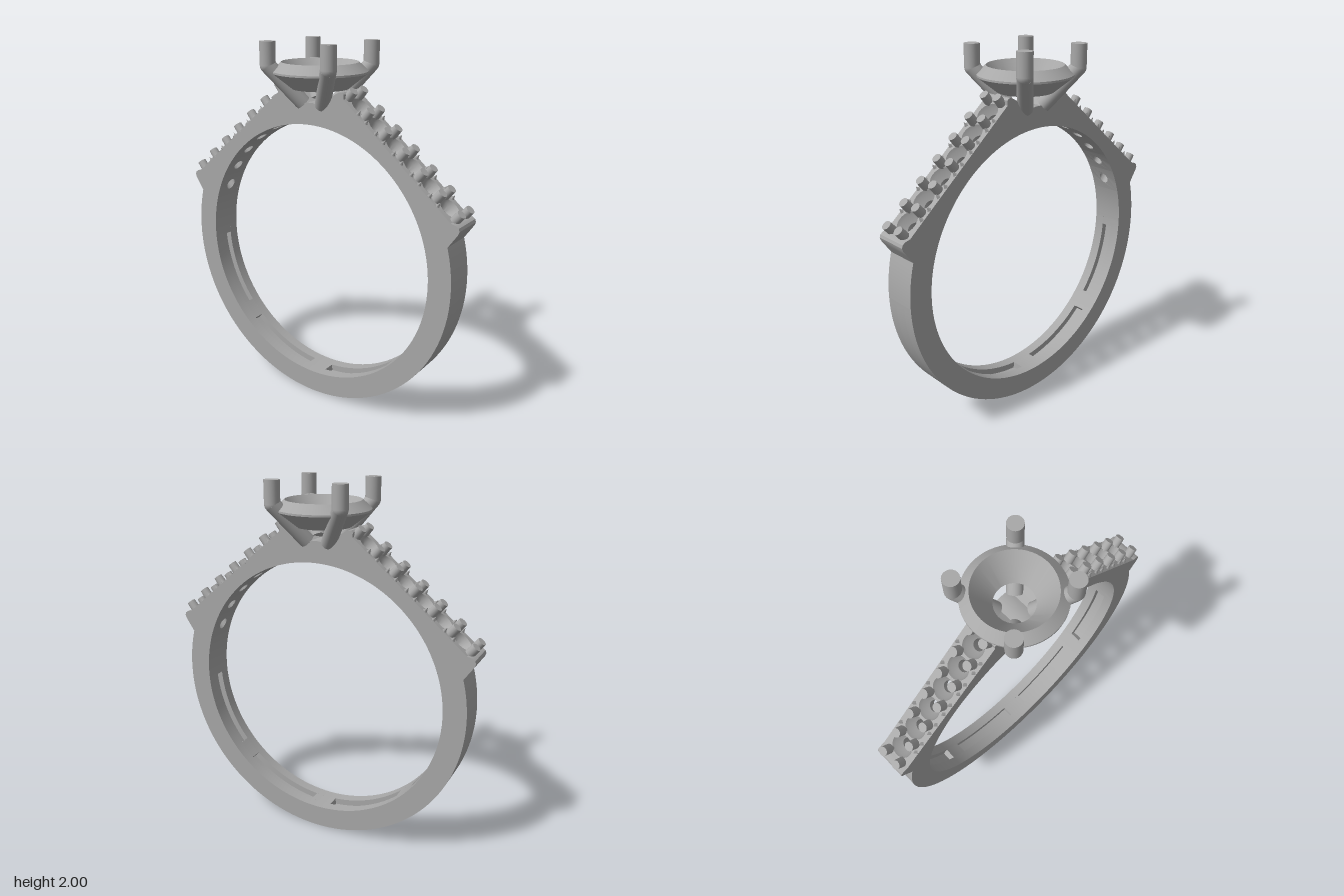
import * as THREE from 'three';
import { toCreasedNormals } from 'three/addons/utils/BufferGeometryUtils.js';

const CY = 0.854, RO = 0.852, RI = 0.727, W = 0.09;   // ring centre, radii, half width
const H = 0.806, HALF = 0.4035, N = 6;                // shoulder slope height, half length, stone seats
const PITCH = (2 * HALF) / N, TILT = THREE.MathUtils.degToRad(40);

const metal = new THREE.MeshStandardMaterial({ color: 0xa8a8a8, side: THREE.DoubleSide });
metal.name = 'grey metal';

function add(parent, name, geometry) {
  const mesh = new THREE.Mesh(geometry, metal);
  mesh.name = name;
  parent.add(mesh);
  return mesh;
}

// points on a circle around the ring centre, angles in degrees
function arc(r, from, to, n) {
  return Array.from({ length: n + 1 }, (_, i) => {
    const a = THREE.MathUtils.degToRad(from + ((to - from) * i) / n);
    return new THREE.Vector2(r * Math.cos(a), CY + r * Math.sin(a));
  });
}

// wall across the band's width along a contour
function wall(pts) {
  const pos = [];
  for (let i = 0; i < pts.length - 1; i++) {
    const p = pts[i], q = pts[i + 1];
    const a = [p.x, p.y, -W], b = [q.x, q.y, -W], c = [q.x, q.y, W], d = [p.x, p.y, W];
    pos.push(...a, ...b, ...c, ...a, ...c, ...d);
  }
  const g = new THREE.BufferGeometry();
  g.setAttribute('position', new THREE.Float32BufferAttribute(pos, 3));
  g.computeVertexNormals();
  return toCreasedNormals(g, 0.5);
}

// flat layer of the band between two depths
function layer(pts, z0, z1) {
  const g = new THREE.ExtrudeGeometry(new THREE.Shape(pts), { depth: z1 - z0, bevelEnabled: false });
  return toCreasedNormals(g.translate(0, 0, z0), 0.5);
}

// rectangle pierced by one round hole, laid on the height rule y = f(x)
function piercedCell(centre, radius, f, facing) {
  const steps = 6, x0 = centre - PITCH / 2, pts = [];
  for (let i = 0; i <= steps; i++) pts.push(new THREE.Vector2(x0 + (PITCH * i) / steps, -W));
  for (let i = steps; i >= 0; i--) pts.push(new THREE.Vector2(x0 + (PITCH * i) / steps, W));
  const shape = new THREE.Shape(pts);
  shape.holes.push(new THREE.Path().absarc(centre, 0, radius, 0, Math.PI * 2, true));
  const g = new THREE.ShapeGeometry(shape, 12).rotateX((-facing * Math.PI) / 2);
  const p = g.attributes.position;
  for (let i = 0; i < p.count; i++) p.setY(i, f(p.getX(i)));
  g.computeVertexNormals();
  return g;
}

// tapered seat and drill hole lofted from the slope to the finger side
function bore(centre, rings) {
  const n = 24, pos = [], idx = [];
  rings.forEach(([r, f], k) => {
    for (let i = 0; i <= n; i++) {
      const a = (i / n) * Math.PI * 2, x = centre + r * Math.cos(a);
      pos.push(x, f(x), r * Math.sin(a));
      if (k && i < n) {
        const u = (k - 1) * (n + 1) + i, v = u + n + 1;
        idx.push(u, u + 1, v, u + 1, v + 1, v);
      }
    }
  });
  const g = new THREE.BufferGeometry();
  g.setAttribute('position', new THREE.Float32BufferAttribute(pos, 3));
  g.setIndex(idx);
  g.computeVertexNormals();
  return toCreasedNormals(g, 0.4);
}

function rod(parent, name, a, b, r) {
  const dir = b.clone().sub(a);
  const m = add(parent, name, new THREE.CylinderGeometry(r, r, dir.length(), 24));
  m.position.copy(a).add(b).multiplyScalar(0.5);
  m.quaternion.setFromUnitVectors(new THREE.Vector3(0, 1, 0), dir.normalize());
}

// pavé row, built upright and tilted into place
function pave(name, tilt) {
  const g = new THREE.Group();
  g.name = name;
  const top = () => H, inner = (x) => Math.sqrt(RI * RI - x * x);
  for (let k = 0; k < N; k++) {
    const s = -HALF + (k + 0.5) * PITCH;
    add(g, 'seatSurface', piercedCell(s, 0.06, top, 1));
    add(g, 'innerSurface', piercedCell(s, 0.03, inner, -1));
    add(g, 'stoneSeat', bore(s, [[0.06, top], [0.052, () => H - 0.02], [0.03, () => H - 0.05], [0.03, inner]]));
  }
  for (let k = 0; k <= N; k++) {
    const s = -HALF + k * PITCH;
    for (const side of [-1, 1]) {
      const bead = add(g, 'beadProng', new THREE.CylinderGeometry(0.024, 0.026, 0.08, 16));
      bead.position.set(s, H + 0.012, side * 0.047);
      if (k === 0 || k === N) continue;
      for (const e of [-1, 1]) {
        const spur = add(g, 'beadSpur', new THREE.ConeGeometry(0.014, 0.03, 4));
        spur.position.set(s + e * 0.03, H + 0.01, side * 0.077);
      }
    }
  }
  g.position.y = CY;
  g.rotation.z = tilt;
  return g;
}

export function createModel() {
  const model = new THREE.Group();
  model.name = 'ring';

  // lower half: two plain outer layers and a middle layer with four inner slots
  const outer = arc(RO, 180, 360, 64);
  const slotted = [];
  let last = 360;
  for (const c of [338, 293, 247, 202]) {
    slotted.push(...arc(RI, last, c + 18, 6), ...arc(RI + 0.035, c + 18, c - 18, 16));
    last = c - 18;
  }
  slotted.push(...arc(RI, last, 180, 4));
  const plain = [...outer, ...arc(RI, 360, 180, 64)];
  add(model, 'bandFront', layer(plain, 0.033, W));
  add(model, 'bandBack', layer(plain, -W, -0.033));
  add(model, 'bandMiddle', layer([...outer, ...slotted], -0.033, 0.033));

  // upper half contour, right side first, then mirrored
  const V = (x, y) => new THREE.Vector2(x, y);
  const onSlope = (s) => V(H * Math.sin(TILT) + s * Math.cos(TILT), CY + H * Math.cos(TILT) - s * Math.sin(TILT));
  const flip = (pts) => pts.map((p) => V(-p.x, p.y)).reverse();
  const flank = [...arc(RO, 0, 16, 8), V(0.85, 1.135), V(0.869, 1.163), V(0.875, 1.18), V(0.87, 1.195),
    V(0.855, 1.206), onSlope(HALF)];
  const crest = [onSlope(-HALF), V(0.21, 1.755), V(0.2, 1.764), V(0.187, 1.765), V(0.165, 1.755),
    V(0.09, 1.705), V(0.05, 1.686), V(0.02, 1.695)];
  const saddle = [...crest, ...flip(crest)];
  add(model, 'rightFlankWall', wall(flank));
  add(model, 'saddleWall', wall(saddle));
  add(model, 'leftFlankWall', wall(flip(flank)));
  const edge = THREE.MathUtils.radToDeg(Math.asin(HALF / RI));
  for (const [a, b] of [[180, 130 + edge], [130 - edge, 50 + edge], [50 - edge, 0]])
    add(model, 'innerWall', wall(arc(RI, a, b, 8)));
  const face = new THREE.Shape([...flank, ...saddle, ...flip(flank), ...arc(RI, 180, 0, 72)]);
  for (const side of [0, 1]) {
    const m = add(model, side ? 'shoulderBack' : 'shoulderFront', new THREE.ShapeGeometry(face));
    m.rotation.y = side * Math.PI;
    m.position.z = side ? -W : W;
  }
  model.add(pave('leftPave', -TILT), pave('rightPave', TILT));

  // stone basket
  const profile = [[0.1, 1.76], [0.15, 1.76], [0.25, 1.84], [0.25, 1.85], [0.2, 1.895], [0.1, 1.76]].map(([x, y]) => V(x, y));
  add(model, 'basket', toCreasedNormals(new THREE.LatheGeometry(profile, 64), 0.4));

  // four claws, bent where they meet the basket
  for (const sx of [-1, 1]) for (const sz of [-1, 1]) {
    const claw = new THREE.Group();
    claw.name = 'claw';
    const at = (d, y) => new THREE.Vector3(sx * d, y, sz * d);
    rod(claw, 'clawTip', at(0.19, 1.88), at(0.19, 2), 0.041);
    rod(claw, 'clawLeg', at(0.062, 1.685), at(0.19, 1.88), 0.041);
    add(claw, 'clawBend', new THREE.SphereGeometry(0.041, 20, 14)).position.copy(at(0.19, 1.88));
    model.add(claw);
  }
  return model;
}
